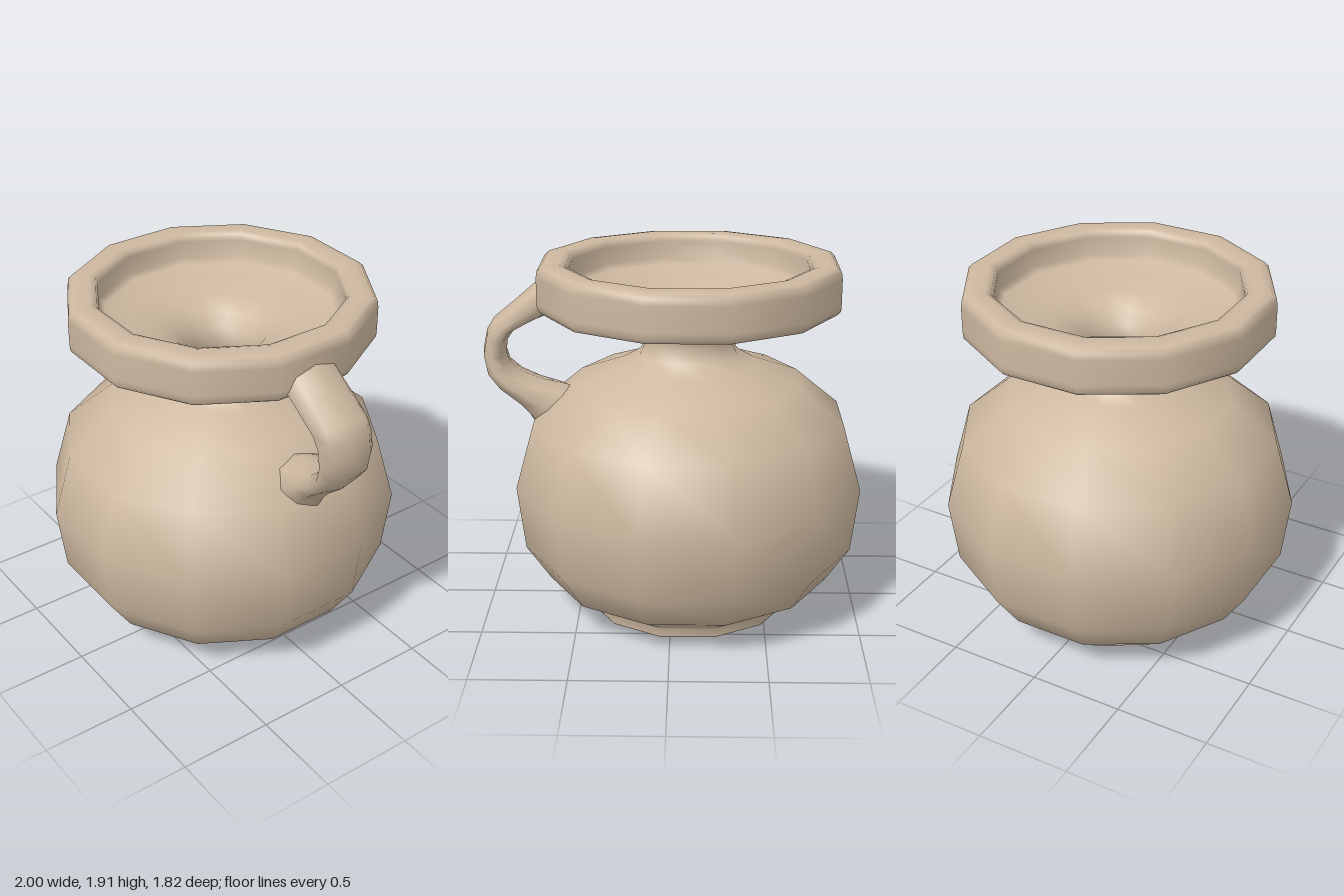
import * as THREE from 'three';

const SIDES = 12;
const HALF_STEP = Math.PI / SIDES;
const FLAT = 1 / Math.cos(HALF_STEP); // flat-to-flat radius -> corner radius
const AXIS_X = -0.09;

// Twelve-sided turned part; profile points are [flat radius, height]
function turned(name, profile, material) {
  const points = profile.map(([r, y]) => new THREE.Vector2(r * FLAT, y));
  const mesh = new THREE.Mesh(new THREE.LatheGeometry(points, SIDES, HALF_STEP), material);
  mesh.name = name;
  mesh.position.x = AXIS_X;
  return mesh;
}

// Strap with an eight-sided section, from pairs of outer and inner edge points
function strap(sections, halfWidth) {
  const n = 8, positions = [], index = [];
  sections.forEach(([ox, oy, ix, iy], i) => {
    for (let j = 0; j < n; j++) {
      const a = (j / n) * Math.PI * 2, c = Math.cos(a);
      positions.push(
        (ox + ix) / 2 + ((ox - ix) / 2) * c,
        (oy + iy) / 2 + ((oy - iy) / 2) * c,
        halfWidth * Math.sin(a));
      if (i < sections.length - 1) {
        const p = i * n + j, q = i * n + (j + 1) % n;
        index.push(p, q, p + n, q, q + n, p + n);
      }
    }
  });
  const geometry = new THREE.BufferGeometry();
  geometry.setAttribute('position', new THREE.Float32BufferAttribute(positions, 3));
  geometry.setIndex(index);
  geometry.computeVertexNormals();
  return geometry;
}

export function createModel() {
  const group = new THREE.Group();
  group.name = 'jug';
  const clay = new THREE.MeshStandardMaterial({ color: 0xcdb8a0 });
  clay.name = 'clay';

  // Foot, belly and neck
  group.add(turned('body', [
    [0.535, 0], [0.542, 0.012], [0.542, 0.05], [0.56, 0.07],
    [0.745, 0.18], [0.87, 0.375], [0.91, 0.72], [0.815, 1.065],
    [0.58, 1.27], [0.34, 1.36], [0.255, 1.415], [0.225, 1.48],
    [0.235, 1.55], [0.285, 1.605], [0.38, 1.638], [0.56, 1.655], [0.73, 1.658],
  ], clay));

  // Thick rim, funnel mouth and hollow inside
  group.add(turned('rim', [
    [0.72, 1.657], [0.755, 1.664], [0.773, 1.685], [0.775, 1.72], [0.775, 1.85],
    [0.77, 1.885], [0.75, 1.905], [0.715, 1.91], [0.66, 1.91], [0.63, 1.9],
    [0.62, 1.87], [0.618, 1.78], [0.59, 1.75], [0.48, 1.72], [0.33, 1.685],
    [0.23, 1.63], [0.175, 1.56], [0.155, 1.48], [0.18, 1.4],
    [0.5, 1.22], [0.73, 1.03], [0.82, 0.72], [0.78, 0.4], [0.6, 0.16], [0, 0.1],
  ], clay));

  // Underside of the foot
  const base = new THREE.Mesh(
    new THREE.CircleGeometry(0.535 * FLAT, SIDES, HALF_STEP).rotateX(Math.PI / 2), clay);
  base.name = 'base';
  base.position.x = AXIS_X;
  group.add(base);

  // Handle: outer x, y and inner x, y for each section
  const handle = new THREE.Mesh(strap([
    [0.66, 1.82, 0.49, 1.67],
    [0.71, 1.785, 0.62, 1.625],
    [0.82, 1.69, 0.735, 1.575],
    [0.935, 1.595, 0.835, 1.525],
    [0.975, 1.53, 0.868, 1.475],
    [0.998, 1.42, 0.878, 1.405],
    [0.98, 1.305, 0.858, 1.345],
    [0.92, 1.22, 0.795, 1.295],
    [0.815, 1.13, 0.69, 1.255],
    [0.765, 1.06, 0.59, 1.235],
    [0.73, 1.0, 0.5, 1.21],
  ], 0.165), clay);
  handle.name = 'handle';
  group.add(handle);

  return group;
}
